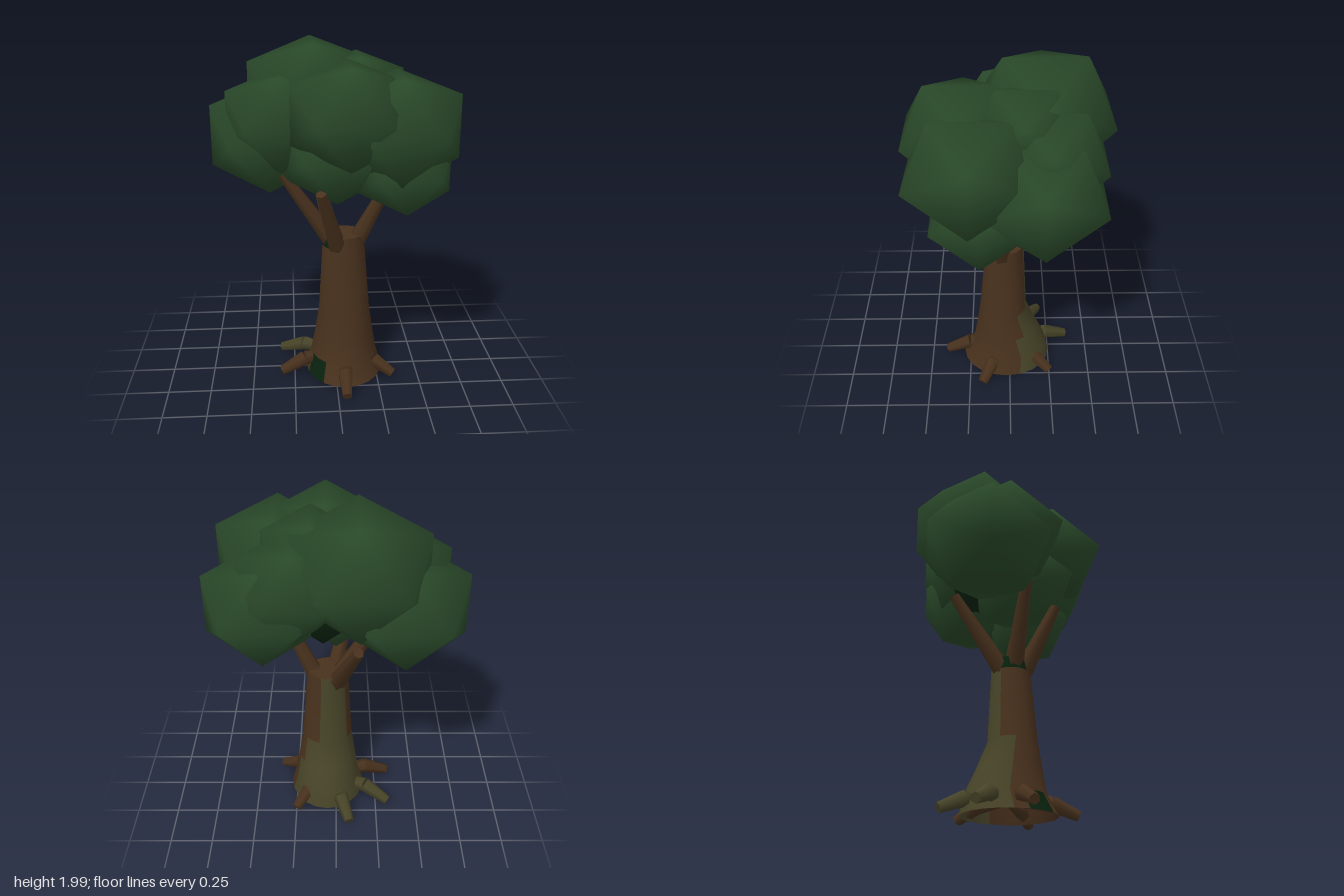
import * as THREE from 'three';
import { mergeVertices } from 'three/addons/utils/BufferGeometryUtils.js';

const mat = (name, color, side = THREE.FrontSide) => {
  const m = new THREE.MeshStandardMaterial({ color, side });
  m.name = name;
  return m;
};

export function createModel() {
  const leaf = mat('leafGreen', 0x294829);
  const bark = mat('barkBrown', 0x48311d, THREE.DoubleSide);
  const moss = mat('mossOlive', 0x474428, THREE.DoubleSide);
  const shade = mat('deepGreen', 0x0a220e, THREE.DoubleSide);

  const tree = new THREE.Group();
  tree.name = 'tree';
  const add = (parent, name, geometry, material) => {
    const mesh = new THREE.Mesh(geometry, material);
    mesh.name = name;
    parent.add(mesh);
    return mesh;
  };
  const group = (name) => {
    const g = new THREE.Group();
    g.name = name;
    tree.add(g);
    return g;
  };

  // Trunk rings: [y, centre x, centre z, radius x, radius z]
  const SIDES = 20;
  const rings = [
    [0.03, 0.055, 0.02, 0.23, 0.27],
    [0.14, 0.055, 0.0, 0.2, 0.23],
    [0.28, 0.055, 0.02, 0.176, 0.186],
    [0.44, 0.055, 0.04, 0.152, 0.142],
    [0.85, 0.05, 0.03, 0.124, 0.115],
    [0.92, 0.05, 0.03, 0.12, 0.11],
  ];
  const positions = [];
  for (const [y, cx, cz, rx, rz] of rings) {
    for (let j = 0; j < SIDES; j++) {
      const a = (j / SIDES) * Math.PI * 2;
      positions.push(cx + rx * Math.cos(a), y, cz + rz * Math.sin(a));
    }
  }
  // First and last mossy column of each band, and the dark hollows
  const mossSpan = [[10, 18], [10, 18], [10, 17], [12, 15], [12, 15]];
  const hollowSpan = { 0: [7, 8], 4: [7, 11] };
  const inside = (span, j) => span !== undefined && j >= span[0] && j <= span[1];
  const faces = [[], [], []];
  for (let i = 0; i < rings.length - 1; i++) {
    for (let j = 0; j < SIDES; j++) {
      const k = (j + 1) % SIDES;
      const a = i * SIDES + j, b = i * SIDES + k, c = b + SIDES, d = a + SIDES;
      const m = inside(hollowSpan[i], j) ? 2 : inside(mossSpan[i], j) ? 1 : 0;
      faces[m].push(a, d, c, a, c, b);
    }
  }
  const trunkGeo = new THREE.BufferGeometry();
  trunkGeo.setAttribute('position', new THREE.Float32BufferAttribute(positions, 3));
  trunkGeo.setIndex(faces.flat());
  let start = 0;
  faces.forEach((list, m) => {
    trunkGeo.addGroup(start, list.length, m);
    start += list.length;
  });
  trunkGeo.computeVertexNormals();
  add(tree, 'trunk', trunkGeo, [bark, moss, shade]);

  // Trunk closures: flat top, dark hollow underneath
  const disc = (name, radius, x, y, z, turn, material) => {
    const mesh = add(tree, name, new THREE.CircleGeometry(radius, SIDES), material);
    mesh.rotation.x = turn;
    mesh.position.set(x, y, z);
  };
  disc('trunkTop', 0.114, 0.05, 0.919, 0.03, -Math.PI / 2, bark);
  disc('trunkHollow', 0.2, 0.055, 0.135, 0, Math.PI / 2, shade);

  // Tapered limb between two points
  const limb = (parent, name, from, to, r0, r1, material) => {
    const a = new THREE.Vector3(...from), b = new THREE.Vector3(...to);
    const dir = b.clone().sub(a);
    const mesh = add(parent, name, new THREE.CylinderGeometry(r1, r0, dir.length(), 6), material);
    mesh.position.copy(a).add(b).multiplyScalar(0.5);
    mesh.quaternion.setFromUnitVectors(new THREE.Vector3(0, 1, 0), dir.normalize());
  };

  // Branches
  const branches = group('branches');
  limb(branches, 'rightBranch', [-0.01, 0.86, 0.04], [-0.3, 1.3, 0.08], 0.055, 0.03, bark);
  limb(branches, 'backBranch', [0.0, 0.85, -0.02], [-0.12, 1.26, -0.32], 0.055, 0.03, bark);
  limb(branches, 'frontBranch', [0.01, 0.86, 0.1], [-0.09, 1.24, 0.28], 0.055, 0.03, bark);
  limb(branches, 'leftBranch', [0.11, 0.84, 0.04], [0.31, 1.25, 0.09], 0.055, 0.03, bark);

  // Roots: thin at the heart, thick at the knee, drooping to the tip
  const roots = group('roots');
  const heart = [0.05, 0.1, 0.01];
  [
    [-0.33, 0.1, bark], [0.05, 0.4, bark], [0.345, 0.17, bark],
    [0.25, -0.25, bark], [-0.08, -0.365, moss], [-0.325, -0.19, moss],
  ].forEach(([x, z, m]) => {
    const knee = [heart[0] + (x - heart[0]) * 0.62, 0.105, heart[2] + (z - heart[2]) * 0.62];
    limb(roots, 'rootHeart', heart, knee, 0.012, 0.046, m);
    limb(roots, 'rootTip', knee, [x, 0.04, z], 0.046, 0.03, m);
  });

  // Leaf clumps: smooth-shaded icosahedra, slightly squashed
  const clumpGeo = (() => {
    let g = new THREE.IcosahedronGeometry(1, 0).rotateY(Math.PI / 2);
    g.deleteAttribute('normal');
    g.deleteAttribute('uv');
    g = mergeVertices(g);
    g.computeVertexNormals();
    return g;
  })();
  const crown = group('crown');
  const clump = (name, x, y, z, r, material, tilt = 0) => {
    const mesh = add(crown, name, clumpGeo, material);
    mesh.position.set(x, y, z);
    mesh.scale.set(r, r * 0.85, r);
    mesh.rotation.y = tilt;
  };
  [
    [-0.12, 1.69, -0.19, 0.43, 0.02],
    [-0.37, 1.465, -0.155, 0.395, 0],
    [-0.3, 1.58, -0.045, 0.36, 0],
    [0.06, 1.665, 0.25, 0.365, 0],
    [0.335, 1.585, 0.2, 0.388, -0.03],
    [0.39, 1.475, -0.17, 0.37, 0],
    [0.225, 1.605, -0.205, 0.342, 0],
    [0.135, 1.72, -0.08, 0.3, 0],
    [0.375, 1.34, 0.155, 0.305, 0],
    [0.0, 1.425, 0.07, 0.352, 0],
  ].forEach(([x, y, z, r, tilt]) => clump('leafClump', x, y, z, r, leaf, tilt));
  // Dark inner foliage seen through the gaps
  clump('innerFoliage', 0.07, 1.52, -0.07, 0.34, shade);

  return tree;
}
